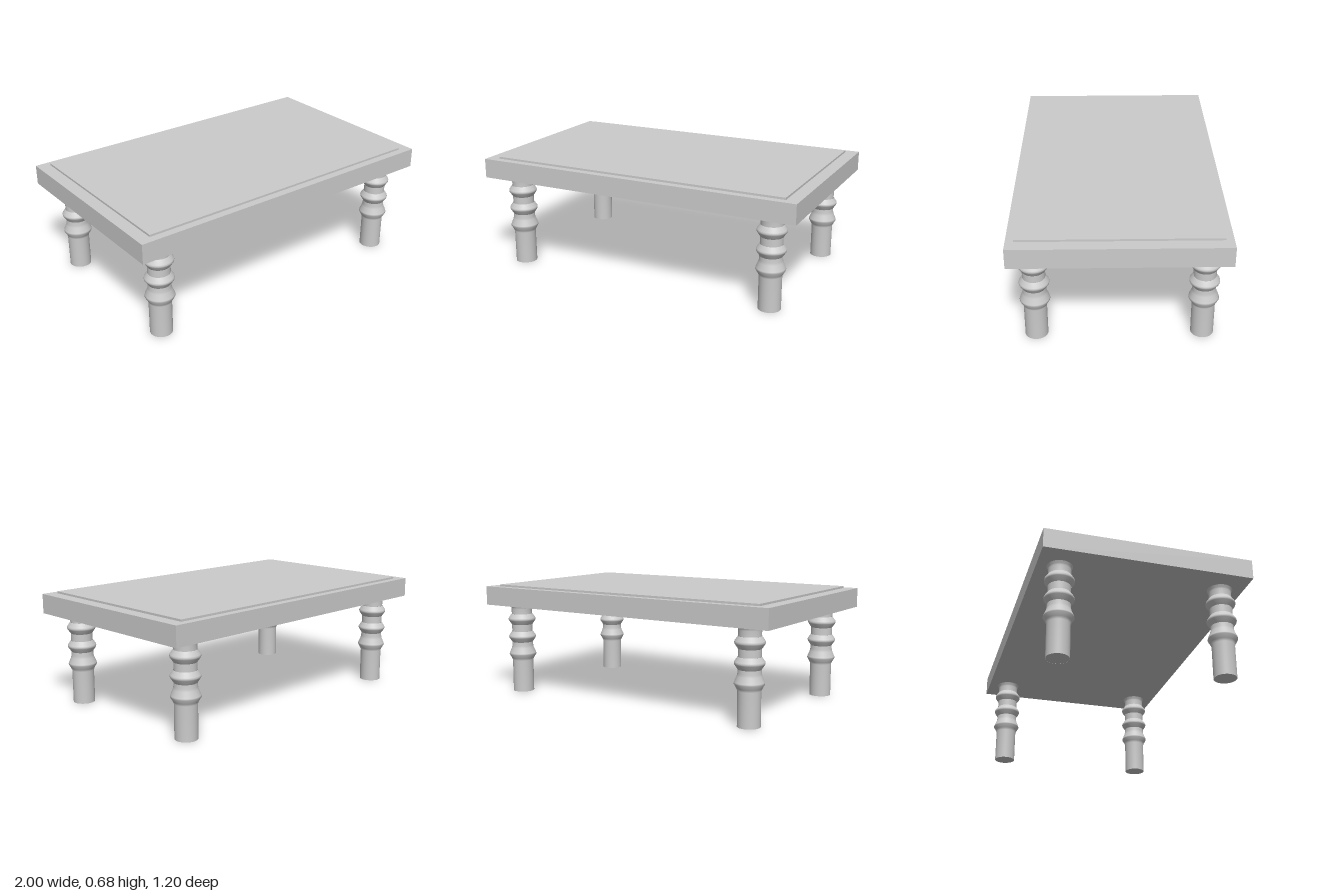
import * as THREE from 'three';

const material = new THREE.MeshStandardMaterial({ color: 0xcccccc, side: THREE.DoubleSide });

function box(name, w, h, d, x, y, z) {
  const mesh = new THREE.Mesh(new THREE.BoxGeometry(w, h, d), material);
  mesh.name = name;
  mesh.position.set(x, y, z);
  return mesh;
}

// Turned leg sections as [radius, height]; each section is smooth, with a crease between them
const legSections = {
  foot: [[0, 0], [0.064, 0]],
  shaft: [[0.065, 0], [0.065, 0.2], [0.072, 0.215], [0.085, 0.238], [0.083, 0.247], [0.069, 0.28], [0.066, 0.295], [0.065, 0.317]],
  lowerRing: [[0.065, 0.317], [0.083, 0.344], [0.085, 0.352], [0.083, 0.36], [0.065, 0.386]],
  lowerNeck: [[0.064, 0.386], [0.064, 0.43]],
  upperRing: [[0.065, 0.43], [0.083, 0.456], [0.085, 0.464], [0.083, 0.473], [0.065, 0.498]],
  collar: [[0.064, 0.498], [0.064, 0.532], [0.067, 0.542], [0.074, 0.557]],
};

function createLeg(name, x, z) {
  const leg = new THREE.Group();
  leg.name = name;
  for (const [part, profile] of Object.entries(legSections)) {
    const points = profile.map(([r, y]) => new THREE.Vector2(r, y));
    const mesh = new THREE.Mesh(new THREE.LatheGeometry(points, 32), material);
    mesh.name = part;
    leg.add(mesh);
  }
  leg.position.set(x, 0, z);
  return leg;
}

export function createModel() {
  const table = new THREE.Group();
  table.name = 'table';

  // Thick top with a slightly raised panel
  table.add(box('tableTop', 2, 0.117, 1.2, 0, 0.6135, 0));
  table.add(box('raisedPanel', 1.85, 0.016, 1.11, 0, 0.676, 0));

  // Four turned legs near the corners
  for (const [side, sx] of [['Left', 1], ['Right', -1]]) {
    for (const [end, sz] of [['front', 1], ['back', -1]]) {
      table.add(createLeg(`${end}${side}Leg`, sx * 0.825, sz * 0.469));
    }
  }
  return table;
}
